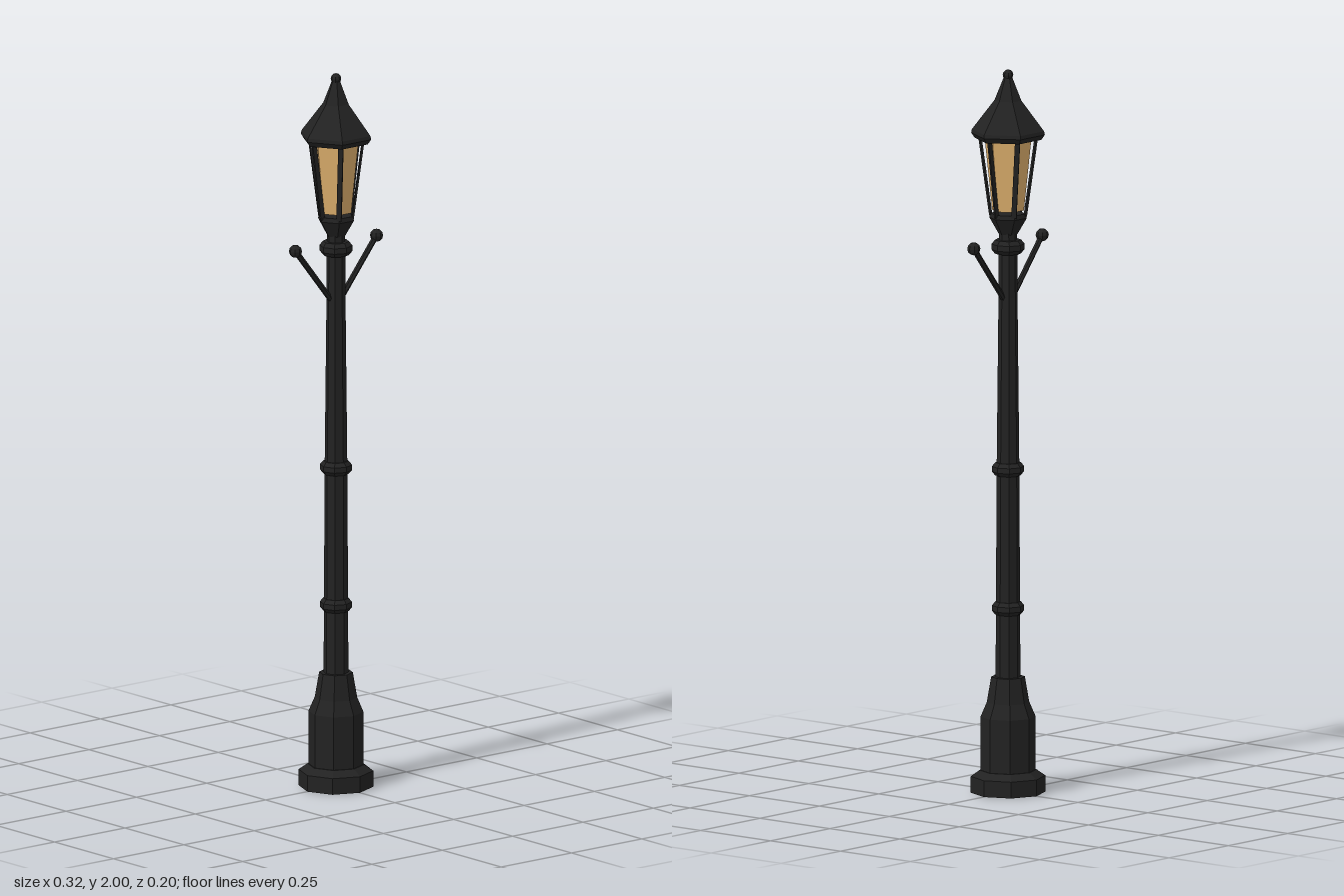
import * as THREE from 'three';

export function createModel() {
  const model = new THREE.Group();
  const iron = new THREE.MeshStandardMaterial({ color: 0x222222 });
  iron.name = 'black iron';
  const amber = new THREE.MeshStandardMaterial({ color: 0xdcae6c });
  amber.name = 'amber glass';

  // Adds a faceted mesh under a plain name
  function add(name, geometry, material = iron, parent = model) {
    const flat = geometry.index ? geometry.toNonIndexed() : geometry;
    flat.computeVertexNormals();
    const mesh = new THREE.Mesh(flat, material);
    mesh.name = name;
    parent.add(mesh);
    return mesh;
  }

  // Turns a bottom-to-top [radius, height] profile with few sides
  function turned(profile, sides, phase = 0) {
    return new THREE.LatheGeometry(profile.map(([r, y]) => new THREE.Vector2(r, y)), sides, phase);
  }

  // Octagonal plinth
  add('base', turned([
    [0, 0], [0.102, 0], [0.102, 0.045], [0.078, 0.062], [0.075, 0.062],
    [0.075, 0.21], [0.058, 0.25], [0.046, 0.32], [0, 0.32],
  ], 8));

  // Tapered post
  add('post', turned([[0.034, 0.31], [0.031, 0.9], [0.026, 1.37], [0.025, 1.56]], 8));

  // Collars around the post
  for (const [y, r, h] of [[0.51, 0.044, 0.018], [0.895, 0.044, 0.018], [1.51, 0.045, 0.019]]) {
    add('collar', turned([
      [0.025, y - h], [r - 0.009, y - h], [r, y - h * 0.4],
      [r, y + h * 0.4], [r - 0.009, y + h], [0.025, y + h],
    ], 8));
  }

  // Pair of slanted ladder arms with ball ends
  for (const side of [-1, 1]) {
    const arm = new THREE.Group();
    arm.name = side > 0 ? 'leftArm' : 'rightArm';
    const start = new THREE.Vector3(side * 0.012, 1.36, 0);
    const end = new THREE.Vector3(side * 0.144, 1.523, 0);
    add('rod', new THREE.TubeGeometry(new THREE.LineCurve3(start, end), 1, 0.008, 6), iron, arm);
    add('ball', new THREE.SphereGeometry(0.018, 8, 6), iron, arm).position.copy(end);
    model.add(arm);
  }

  // Lantern: hexagonal, with corners on the x axis
  const lantern = new THREE.Group();
  lantern.name = 'lantern';
  model.add(lantern);
  const corner = Math.PI / 2;
  add('cup', turned([[0, 1.545], [0.026, 1.545], [0.052, 1.59], [0.049, 1.602], [0, 1.602]], 6, corner), iron, lantern);
  add('glass', turned([[0, 1.611], [0.044, 1.611], [0.065, 1.812], [0, 1.812]], 6, corner), amber, lantern);

  // Slim leaning bars at the six corners
  const lean = Math.atan2(0.03, 0.215);
  for (let i = 0; i < 6; i++) {
    const angle = i * Math.PI / 3;
    const bar = new THREE.BoxGeometry(0.014, 0.22, 0.005);
    bar.rotateY(angle * 2);
    bar.rotateZ(-lean);
    bar.translate(0.063, 1.705, 0);
    bar.rotateY(-angle);
    add('cornerBar', bar, iron, lantern);
  }

  // Roof with eave and finial
  add('roof', turned([
    [0, 1.808], [0.092, 1.808], [0.102, 1.822], [0.1, 1.832],
    [0.037, 1.915], [0.012, 1.978], [0, 1.978],
  ], 6, corner), iron, lantern);
  add('finial', new THREE.SphereGeometry(0.0145, 8, 6), iron, lantern).position.y = 1.9855;

  return model;
}
